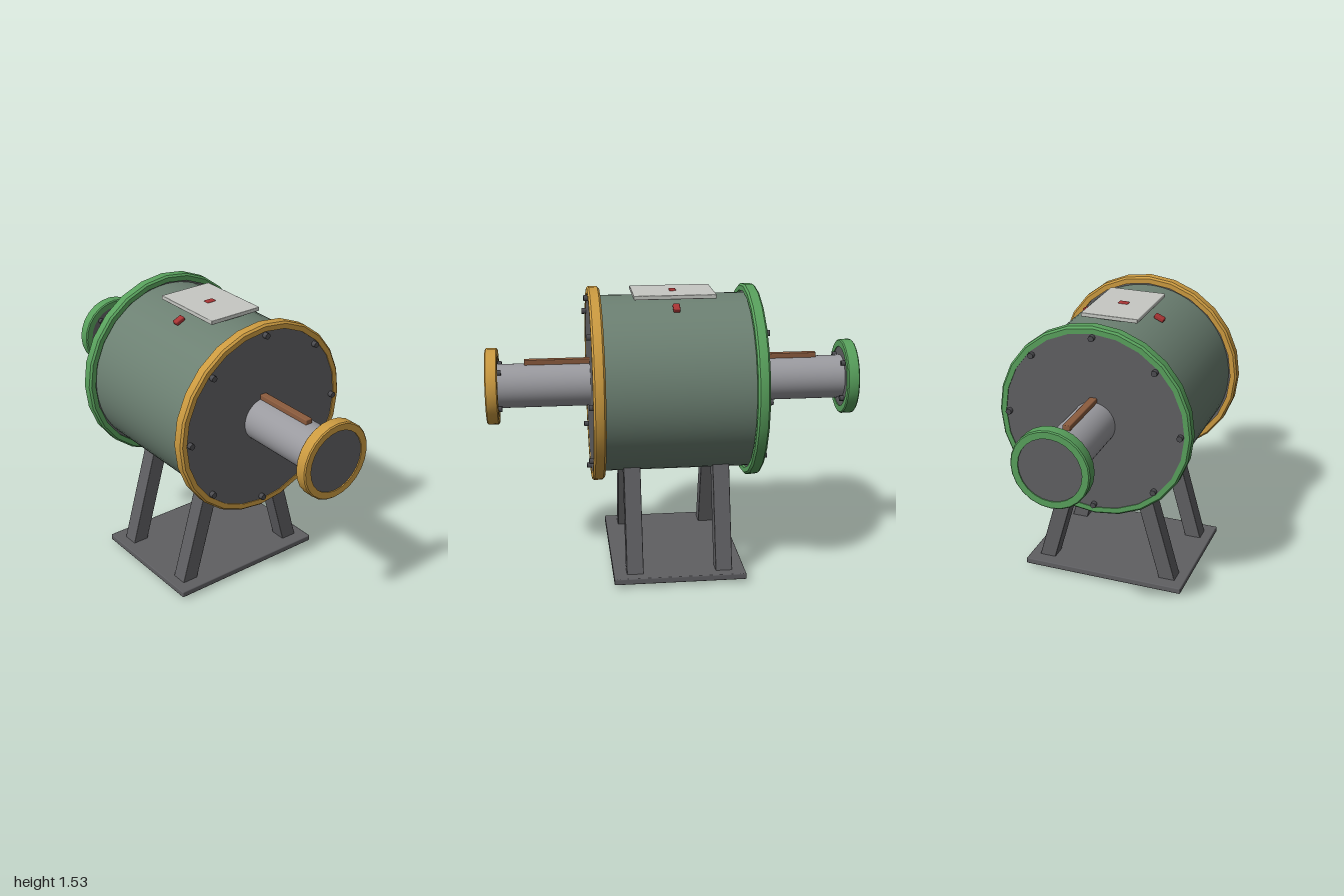
import * as THREE from 'three';
import { toCreasedNormals } from 'three/addons/utils/BufferGeometryUtils.js';
import { RoundedBoxGeometry } from 'three/addons/geometries/RoundedBoxGeometry.js';

const mat = (name, color) => {
  const m = new THREE.MeshStandardMaterial({ color });
  m.name = name;
  return m;
};

export function createModel() {
  const steel = mat('dark steel', 0x5f5f62);
  const bolt = mat('bolt grey', 0x4c4c50);
  const drumGreen = mat('drum grey green', 0x6c8072);
  const pipeGrey = mat('pipe grey', 0x9a9a9f);
  const gold = mat('gold', 0xcb9a40);
  const green = mat('green', 0x58a05c);
  const copper = mat('copper', 0x8c5c3e);
  const red = mat('red', 0xa83434);
  const white = mat('plate white', 0xc6c8c3);

  const model = new THREE.Group();
  const AXIS = 1.01; // height of the drum axis

  const add = (parent, name, geo, material, x = 0, y = 0, z = 0) => {
    const mesh = new THREE.Mesh(geo, material);
    mesh.name = name;
    mesh.position.set(x, y, z);
    parent.add(mesh);
    return mesh;
  };
  // cylinder lying along z
  const rod = (r, length, sides = 48) =>
    new THREE.CylinderGeometry(r, r, length, sides).rotateX(Math.PI / 2);
  // bevelled ring around z
  const ring = (inner, outer, depth, bevel) => {
    const h = depth / 2, b = bevel;
    const profile = [
      [inner, -h], [outer - b, -h], [outer, -h + b],
      [outer, h - b], [outer - b, h], [inner, h], [inner, -h],
    ].map(([r, y]) => new THREE.Vector2(r, y));
    const geo = new THREE.LatheGeometry(profile, 24).rotateX(Math.PI / 2);
    return toCreasedNormals(geo, 0.4);
  };
  const box = (w, h, d, bevel) => new RoundedBoxGeometry(w, h, d, 1, bevel);

  // drum
  add(model, 'drum', rod(0.475, 0.86, 64), drumGreen, 0, AXIS, 0);

  // both ends: rim, cover, bolts, pipe, flange, bar
  for (const [side, label, colour] of [[1, 'front', gold], [-1, 'back', green]]) {
    const end = new THREE.Group();
    end.name = label + 'End';
    end.position.y = AXIS;
    model.add(end);

    add(end, 'drumRim', ring(0.488, 0.525, 0.065, 0.01), colour, 0, 0, side * 0.4175);
    add(end, 'drumCover', rod(0.492, 0.045), steel, 0, 0, side * 0.4225);
    for (let i = 0; i < 8; i++) {
      const a = (i * Math.PI) / 4;
      add(end, 'coverBolt', rod(0.016, 0.04, 8), bolt,
        Math.cos(a) * 0.468, Math.sin(a) * 0.468, side * 0.45);
    }

    add(end, 'pipe', rod(0.118, 0.53), pipeGrey, 0, 0, side * 0.695);
    add(end, 'flangeRim', ring(0.165, 0.205, 0.066, 0.006), colour, 0, 0, side * 0.967);
    add(end, 'flangeDisc', rod(0.168, 0.055), steel, 0, 0, side * 0.9665);
    for (let i = 0; i < 4; i++) {
      const a = Math.PI / 4 + (i * Math.PI) / 2;
      add(end, 'flangeBolt', rod(0.015, 0.035, 8), bolt,
        Math.cos(a) * 0.141, Math.sin(a) * 0.141, side * 0.934);
    }
    add(end, 'pipeBar', box(0.04, 0.03, 0.36, 0.005), copper, 0, 0.128, side * 0.615);
  }

  // top plate and red knobs
  add(model, 'topPlate', box(0.31, 0.022, 0.435, 0.004), white, 0, 1.502, -0.003);
  for (const x of [-0.2, 0, 0.2]) {
    const a = Math.asin(x / 0.49);
    const knob = add(model, 'knob', box(0.056, x ? 0.024 : 0.026, 0.037, 0.007), red,
      x, x ? AXIS + Math.cos(a) * 0.488 : 1.506, -0.004);
    knob.rotation.z = -a;
  }

  // stand: base plate and four leaning legs
  add(model, 'basePlate', box(0.912, 0.034, 0.71, 0.006), steel, 0, 0.036, 0);
  for (const sx of [-1, 1]) {
    for (const sz of [-1, 1]) {
      const leg = add(model, 'leg', box(0.088, 0.608, 0.09, 0.004), steel,
        sx * 0.284, 0.305, sz * 0.24);
      leg.rotation.z = sx * 0.272;
    }
  }
  return model;
}
